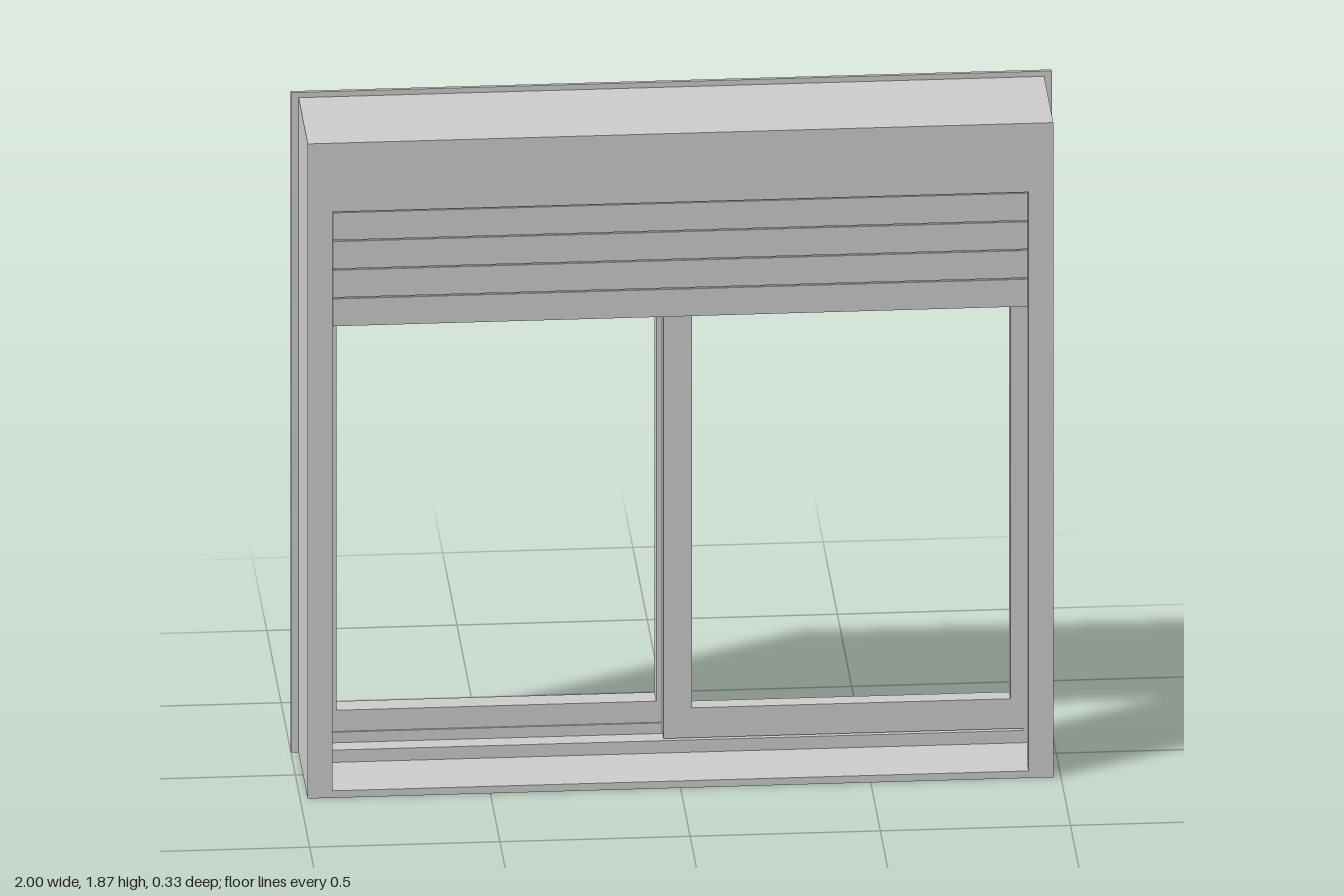
import * as THREE from 'three';

const material = new THREE.MeshStandardMaterial({ color: 0xcccccc, flatShading: true });

function add(group, name, geometry) {
  const mesh = new THREE.Mesh(geometry, material);
  mesh.name = name;
  group.add(mesh);
}

// Box given by its limits on each axis
function box(group, name, x0, x1, y0, y1, z0, z1) {
  const g = new THREE.BoxGeometry(x1 - x0, y1 - y0, z1 - z0);
  g.translate((x0 + x1) / 2, (y0 + y1) / 2, (z0 + z1) / 2);
  add(group, name, g);
}

// Rectangular ring: outer and inner are [x0, x1, y0, y1], extruded from z0 to z1
function ring(group, name, outer, inner, z0, z1) {
  const corners = ([x0, x1, y0, y1]) =>
    [[x0, y0], [x1, y0], [x1, y1], [x0, y1]].map(([x, y]) => new THREE.Vector2(x, y));
  const shape = new THREE.Shape(corners(outer));
  shape.holes.push(new THREE.Path(corners(inner).reverse()));
  const g = new THREE.ExtrudeGeometry(shape, { depth: z1 - z0, bevelEnabled: false });
  g.translate(0, 0, z0);
  add(group, name, g);
}

export function createModel() {
  const model = new THREE.Group();
  model.name = 'slidingWindowWithShutter';

  // Casing: front guides, recessed side walls, and the deeper window frame behind
  const casing = new THREE.Group();
  casing.name = 'casing';
  model.add(casing);
  const outer = [-0.98, 0.98, 0, 1.855];
  ring(casing, 'shutterGuideFrame', outer, [-0.915, 0.915, 0.02, 1.66], 0.115, 0.165);
  ring(casing, 'casingWalls', outer, [-0.95, 0.95, 0.02, 1.66], -0.03, 0.115);
  ring(casing, 'windowFrame', outer, [-0.915, 0.915, 0.055, 1.62], -0.155, -0.03);

  // Thin flange around the back
  ring(casing, 'backFlange', [-1, 1, 0, 1.87], [-0.932, 0.932, 0.02, 1.66], -0.165, -0.155);

  // Rib between the two sliding tracks
  box(casing, 'trackRib', -0.915, 0.915, 0.055, 0.085, -0.085, -0.08);
  box(casing, 'topTrackRib', -0.915, 0.915, 1.59, 1.62, -0.085, -0.08);

  // Sliding sashes, one on each track, overlapping at the middle
  ring(model, 'leftSash', [-0.03, 0.915, 0.06, 1.615], [0.045, 0.882, 0.145, 1.535], -0.08, -0.032);
  ring(model, 'rightSash', [-0.915, 0.038, 0.06, 1.615], [-0.885, -0.045, 0.145, 1.535], -0.147, -0.085);

  // Partly lowered shutter: four slats with fine joints between them
  const shutter = new THREE.Group();
  shutter.name = 'shutter';
  model.add(shutter);
  const top = 1.66, bottom = 1.335, count = 4, pitch = (top - bottom) / count;
  for (let i = 0; i < count; i++) {
    const y = bottom + i * pitch;
    box(shutter, 'slat', -0.914, 0.914, y, y + pitch - 0.004, 0.143, 0.162);
  }
  box(shutter, 'slatBacking', -0.914, 0.914, bottom + 0.002, top, 0.147, 0.158);
  return model;
}
